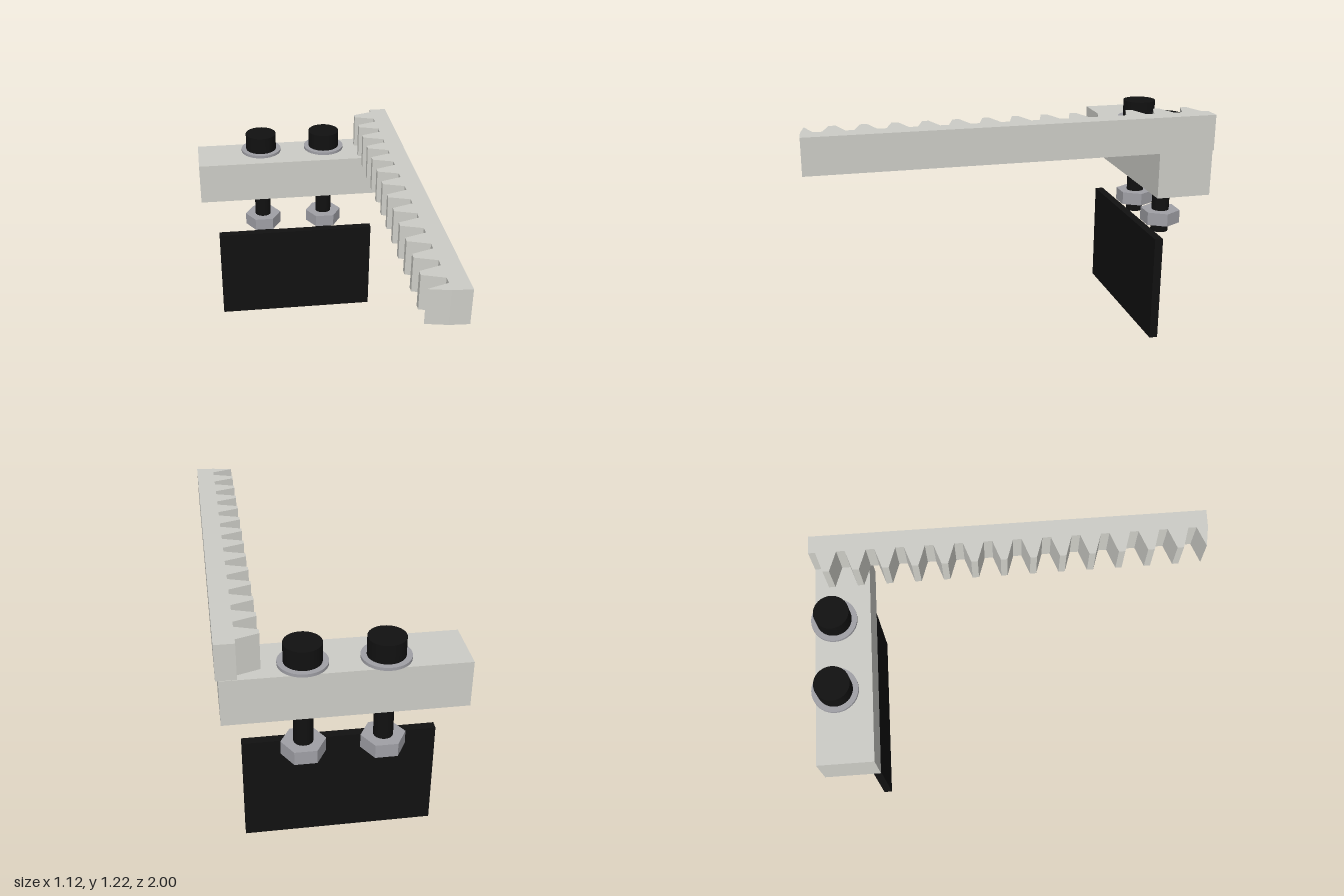
import * as THREE from 'three';

const beige = new THREE.MeshStandardMaterial({ color: 0xcdcdc7 });
const black = new THREE.MeshStandardMaterial({ color: 0x111111 });
const steel = new THREE.MeshStandardMaterial({ color: 0xa0a0a6 });
const steelFlat = new THREE.MeshStandardMaterial({ color: 0xa0a0a6, flatShading: true });

function add(parent, name, geometry, material) {
  const mesh = new THREE.Mesh(geometry, material);
  mesh.name = name;
  parent.add(mesh);
  return mesh;
}

// box given by its extents on each axis
function box(parent, name, [x0, x1], [y0, y1], [z0, z1], material) {
  const mesh = add(parent, name, new THREE.BoxGeometry(x1 - x0, y1 - y0, z1 - z0), material);
  mesh.position.set((x0 + x1) / 2, (y0 + y1) / 2, (z0 + z1) / 2);
}

// upright cylinder between two heights
function post(parent, name, radius, y0, y1, material, sides = 40, start = 0) {
  const mesh = add(parent, name,
    new THREE.CylinderGeometry(radius, radius, y1 - y0, sides, 1, false, start), material);
  mesh.position.y = (y0 + y1) / 2;
}

// toothed bar: plan outline extruded upwards
function rackGeometry() {
  const back = 0.557, root = 0.465, tip = 0.36;
  const pitch = 0.145, halfRoot = 0.021, halfTip = 0.016;
  const outline = [[back, 1], [back, -0.98], [root, -0.98]];
  for (let i = 0; i < 13; i++) {
    const gap = -0.967 + i * pitch;
    const tooth = gap + pitch / 2;
    outline.push(
      [root, gap + halfRoot],
      [tip, tooth - halfTip],
      [tip, tooth + halfTip],
      [root, gap + pitch - halfRoot]);
  }
  // last, cut-off tooth
  outline.push([root, 0.938], [tip, 0.974], [root, 0.995]);
  const shape = new THREE.Shape(outline.map(([x, z]) => new THREE.Vector2(x, -z)));
  return new THREE.ExtrudeGeometry(shape, { depth: 0.178, bevelEnabled: false })
    .rotateX(-Math.PI / 2).translate(0, 1.037, 0);
}

export function createModel() {
  const model = new THREE.Group();
  model.name = 'rackBracket';

  add(model, 'rack', rackGeometry(), beige);
  box(model, 'mountingBlock', [-0.56, 0.545], [0.806, 1.035], [-0.98, -0.705], beige);
  box(model, 'plate', [-0.467, 0.452], [0, 0.553], [-0.79, -0.747], black);

  // two bolts with washers and hex nuts
  for (const x of [-0.192, 0.176]) {
    const bolt = new THREE.Group();
    bolt.name = 'bolt';
    bolt.position.set(x, 0, -0.885);
    post(bolt, 'boltHead', 0.087, 1.05, 1.142, black);
    post(bolt, 'boltShaft', 0.046, 0.502, 1.05, black);
    post(bolt, 'washer', 0.114, 1.035, 1.05, steel);
    post(bolt, 'nut', 0.105, 0.553, 0.622, steelFlat, 6, Math.PI / 2);
    model.add(bolt);
  }
  return model;
}
